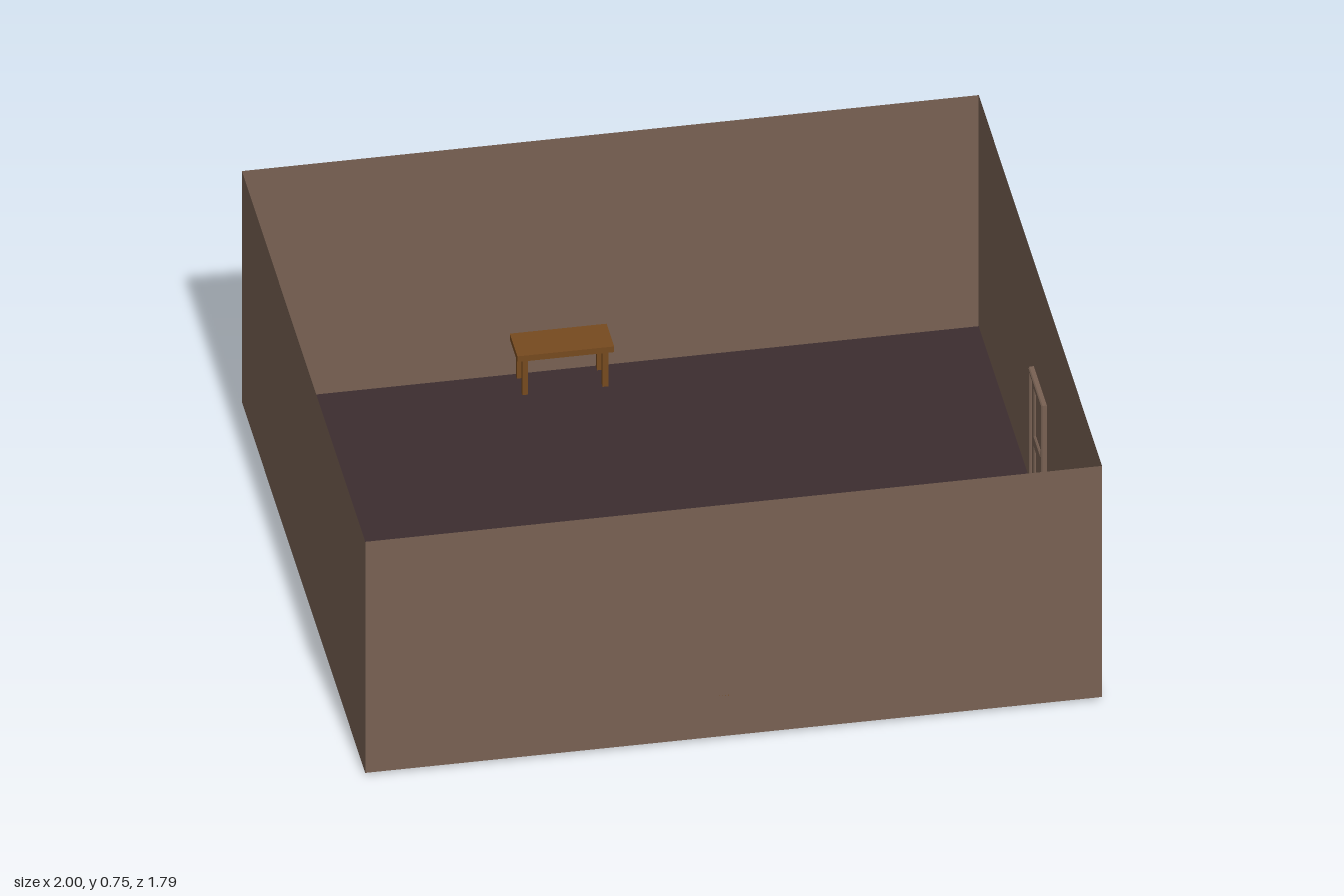
import * as THREE from 'three';

const material = (name, color, side = THREE.FrontSide) => {
  const m = new THREE.MeshStandardMaterial({ color, side });
  m.name = name;
  return m;
};

export function createModel() {
  const wallBrown = material('wallBrown', 0x786153, THREE.DoubleSide);
  const floorPlum = material('floorPlum', 0x3c2d2f, THREE.DoubleSide);
  const tableWood = material('tableWood', 0x764a1f);

  const room = new THREE.Group();
  room.name = 'room';
  const add = (parent, name, geometry, mat, x = 0, y = 0, z = 0) => {
    const mesh = new THREE.Mesh(geometry, mat);
    mesh.name = name;
    mesh.position.set(x, y, z);
    parent.add(mesh);
    return mesh;
  };

  // Open-topped shell: floor and four thin walls
  const X0 = -1, X1 = 0.98, Z = 0.895, Y0 = 0.01, Y1 = 0.745;
  const cx = (X0 + X1) / 2, cy = (Y0 + Y1) / 2, width = X1 - X0, height = Y1 - Y0;
  add(room, 'floor', new THREE.PlaneGeometry(width, 2 * Z).rotateX(-Math.PI / 2), floorPlum, cx, Y0, 0);
  const longWall = new THREE.PlaneGeometry(width, height);
  add(room, 'frontWall', longWall, wallBrown, cx, cy, Z);
  add(room, 'backWall', longWall.clone().rotateY(Math.PI), wallBrown, cx, cy, -Z);
  const sideWall = new THREE.PlaneGeometry(2 * Z, height).rotateY(Math.PI / 2);
  add(room, 'leftWall', sideWall, wallBrown, X1, cy, 0);
  add(room, 'rightWall', sideWall.clone().rotateY(Math.PI), wallBrown, X0, cy, 0);

  // Side tables against the front and back walls
  for (const s of [1, -1]) {
    const table = new THREE.Group();
    table.name = s > 0 ? 'frontTable' : 'backTable';
    table.position.set(-0.15, Y0, s * 0.84);
    add(table, 'tableTop', new THREE.BoxGeometry(0.26, 0.018, 0.11), tableWood, 0, 0.121, 0);
    for (const x of [-0.108, 0.108])
      for (const z of [-0.04, 0.04])
        add(table, 'tableLeg', new THREE.BoxGeometry(0.015, 0.112, 0.015), tableWood, x, 0.056, z);
    room.add(table);
  }

  // Door in the left wall, extruded along x with chamfered edges
  const rect = (Type, w, y0, y1) => new Type([[-w, y0], [w, y0], [w, y1], [-w, y1]]
    .map(([x, y]) => new THREE.Vector2(x, y)));
  const chamfered = (shape, thickness, bevel) => new THREE.ExtrudeGeometry(shape, {
    depth: thickness - 2 * bevel, bevelThickness: bevel, bevelSize: bevel,
    bevelOffset: -bevel, bevelSegments: 1,
  }).translate(0, 0, bevel).rotateY(Math.PI / 2);

  const door = new THREE.Group();
  door.name = 'door';
  const frame = new THREE.Shape([
    [-0.095, 0], [-0.082, 0], [-0.082, 0.396], [0.082, 0.396],
    [0.082, 0], [0.095, 0], [0.095, 0.41], [-0.095, 0.41],
  ].map(([x, y]) => new THREE.Vector2(x, y)));
  add(door, 'doorFrame', chamfered(frame, 0.035, 0.003), wallBrown, 0.965, 0, 0);

  const leaf = rect(THREE.Shape, 0.083, 0.012, 0.394);
  leaf.holes.push(rect(THREE.Path, 0.055, 0.04, 0.178), rect(THREE.Path, 0.055, 0.215, 0.362));
  add(door, 'doorLeaf', chamfered(leaf, 0.02, 0.004), wallBrown, 0.972, 0, 0);
  for (const [y, h] of [[0.109, 0.15], [0.2885, 0.16]])
    add(door, 'doorPanel', new THREE.BoxGeometry(0.008, h, 0.12), wallBrown, 0.982, y, 0);
  room.add(door);

  // Small arched plate low on the inside of the right wall
  const arch = new THREE.Shape();
  arch.moveTo(-0.035, 0);
  arch.lineTo(0.035, 0);
  arch.lineTo(0.035, 0.08);
  arch.absarc(0, 0.08, 0.035, 0, Math.PI, false);
  arch.closePath();
  add(room, 'wallArch', new THREE.ExtrudeGeometry(arch, { depth: 0.004, bevelEnabled: false, curveSegments: 8 })
    .rotateY(Math.PI / 2), wallBrown, X0, Y0, -0.28);

  return room;
}
